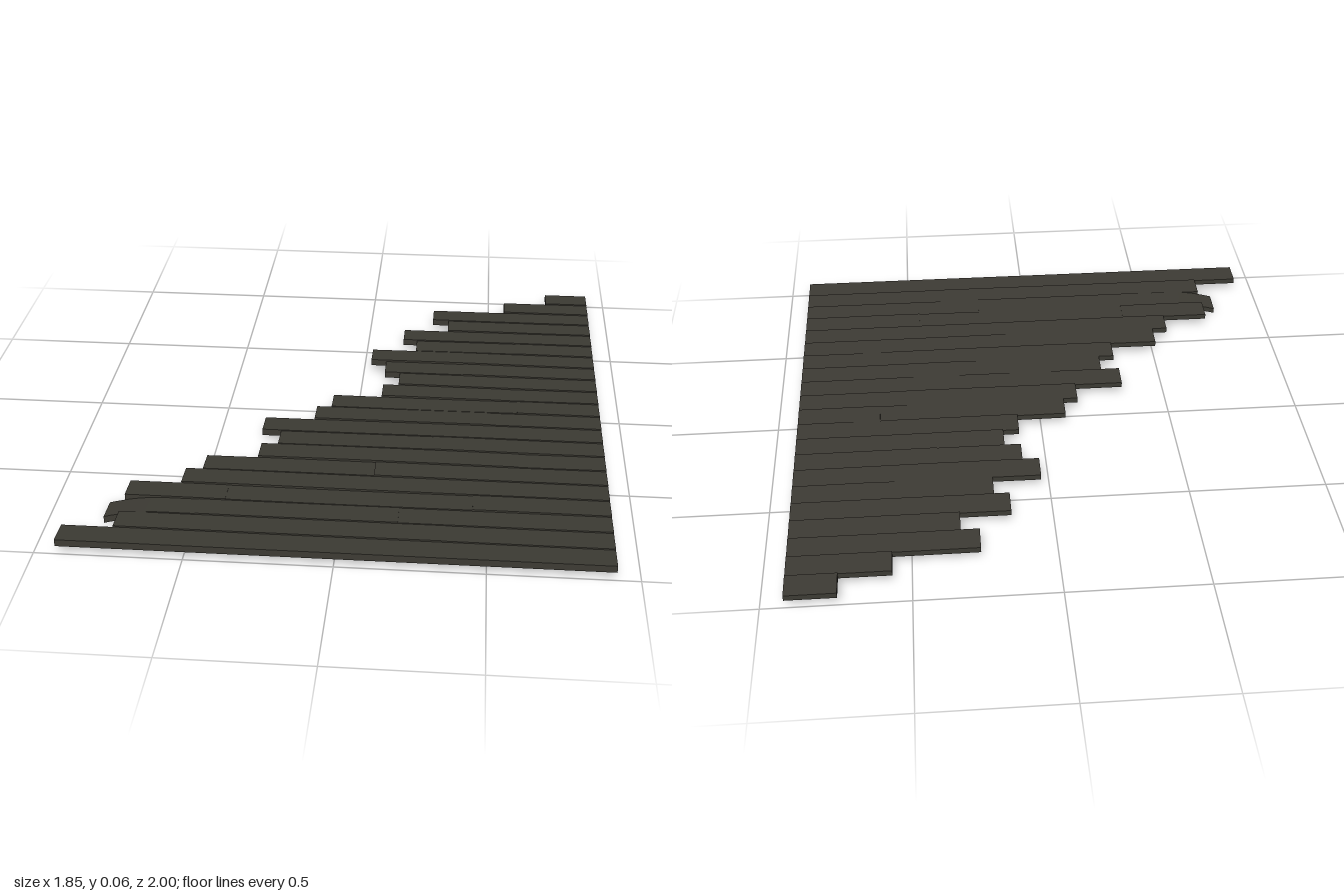
import * as THREE from 'three';

const ROWS = 21, PITCH = 2 / ROWS, RIGHT = 0.92;
const TOP = 0.054, BOTTOM = 0.031, TILT = 0.0025;

// ragged left end of every course, back to front
const LEFT_ENDS = [0.745, 0.565, 0.265, 0.33, 0.15, 0.205, 0.03, 0.09, 0.15, 0.09, -0.095,
  -0.15, -0.335, -0.265, -0.325, -0.51, -0.57, -0.75, -0.805, -0.75, -0.925];

// butt joints along a course, by row
const JOINTS = { 3: [0.66], 5: [0.61], 7: [0.4], 9: [0.55], 10: [0.61], 11: [0.51], 13: [0.3],
  14: [0.61], 15: [0.1], 17: [-0.4, 0.45], 18: [-0.49, 0.2], 19: [0.36] };

const LOOSE_ROW = 18;

export function createModel() {
  const model = new THREE.Group();
  model.name = 'plankSlope';
  const wood = new THREE.MeshStandardMaterial({ color: 0x3d3b34 });
  wood.name = 'weathered dark wood';

  // small uneven lift of a plank, fading to nothing at the straight borders
  const unevenness = (x, row, index) => {
    const edge = Math.min(1, (RIGHT - x) * 2) * Math.min(1, (ROWS - 1 - row) / 3, row / 4);
    return edge * (0.0015 * Math.sin(row * 2.4 + index * 2.6) + 0.001 * Math.sin(x * 4 + row));
  };

  // one board: raised front edge, lowered back edge, lightly warped along its length
  function plank(x0, x1, row, index) {
    const geometry = new THREE.BoxGeometry(x1 - x0, TOP - BOTTOM, PITCH, 12, 1, 1);
    geometry.translate((x0 + x1) / 2, (TOP + BOTTOM) / 2, -1 + (row + 0.5) * PITCH);
    const p = geometry.attributes.position;
    const middle = -1 + (row + 0.5) * PITCH;
    for (let i = 0; i < p.count; i++) {
      const x = p.getX(i);
      let y = p.getY(i) + unevenness(x, row, index);
      if (p.getY(i) > 0.04) y += TILT * Math.sign(p.getZ(i) - middle);
      // loose end curling down
      if (row === LOOSE_ROW) y -= 0.031 * Math.max(0, (-0.6 - x) / 0.205) ** 2;
      p.setY(i, Math.max(0, y));
    }
    geometry.computeVertexNormals();
    const mesh = new THREE.Mesh(geometry, wood);
    mesh.name = `plank_${row}_${index}`;
    return mesh;
  }

  LEFT_ENDS.forEach((left, row) => {
    const course = new THREE.Group();
    course.name = `course_${row}`;
    const cuts = [left, ...(JOINTS[row] || []), RIGHT];
    for (let i = 0; i < cuts.length - 1; i++) course.add(plank(cuts[i], cuts[i + 1], row, i));
    model.add(course);
  });
  return model;
}
